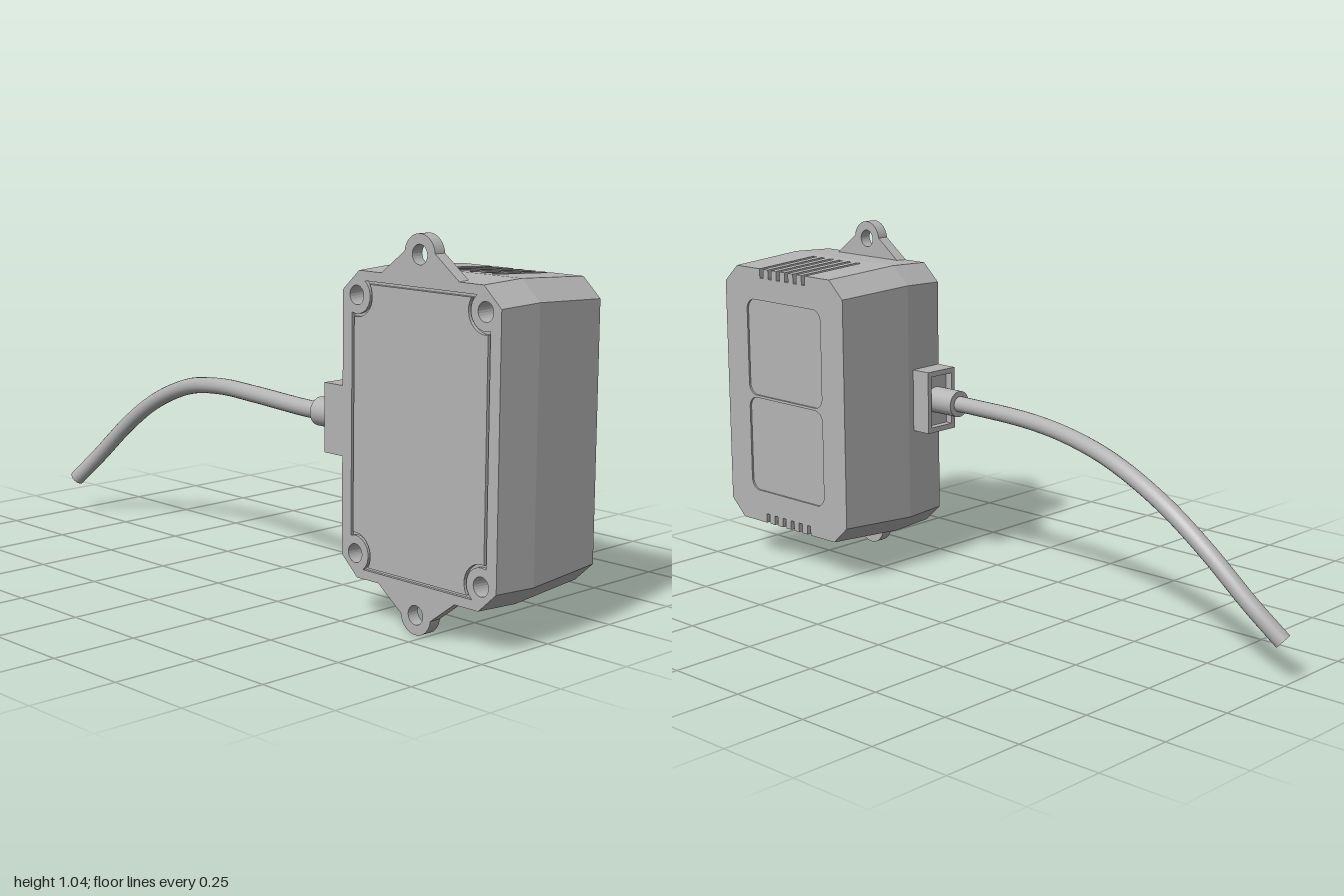
import * as THREE from 'three';

const CY = 0.52, CZ = 0.72;      // centre of the housing
const HZ = 0.28, HY = 0.416;     // half depth and half height at the widest section
const BACK = -0.195, MID = -0.06, FACE = 0.193;

// Octagon outline of the housing, optionally with vent notches in top and bottom
function outline(notched) {
  const half = (s) => {
    const pts = [[s * HZ, s * (HY - 0.055)], [s * (HZ - 0.06), s * HY]];
    if (notched) for (let i = 0; i < 6; i++) {
      const c = 0.1 - i * 0.04, w = 0.008, d = 0.03;
      pts.push([s * (c + w), s * HY], [s * (c + w), s * (HY - d)], [s * (c - w), s * (HY - d)], [s * (c - w), s * HY]);
    }
    pts.push([-s * (HZ - 0.06), s * HY], [-s * HZ, s * (HY - 0.055)]);
    return pts;
  };
  return toShape([...half(1), ...half(-1)]);
}

function toShape(pts) {
  return new THREE.Shape(pts.map(([a, b]) => new THREE.Vector2(a, b)));
}

function circle(a, b, r) {
  const p = new THREE.Path();
  p.absarc(a, b, r, 0, Math.PI * 2, true);
  return p;
}

// Cover outline with round cut-outs around the four screws
const SZ = 0.228, SY = 0.35;
function coverShape(w, h, r) {
  const a0 = Math.atan2(-Math.sqrt(r * r - (w - SZ) ** 2), w - SZ);
  const a1 = Math.atan2(h - SY, -Math.sqrt(r * r - (h - SY) ** 2)) - Math.PI * 2;
  const corner = [];
  for (let i = 0; i <= 10; i++) {
    const t = a0 + (a1 - a0) * i / 10;
    corner.push([SZ + r * Math.cos(t), SY + r * Math.sin(t)]);
  }
  const flip = (sx, sy) => corner.map(([a, b]) => [a * sx, b * sy]);
  return toShape([...corner, ...flip(-1, 1).reverse(), ...flip(-1, -1), ...flip(1, -1).reverse()]);
}

function roundedRect(y0, y1, w, r) {
  const p = new THREE.Path();
  p.absarc(w - r, y1 - r, r, 0, Math.PI / 2);
  p.absarc(-w + r, y1 - r, r, Math.PI / 2, Math.PI);
  p.absarc(-w + r, y0 + r, r, Math.PI, Math.PI * 1.5);
  p.absarc(w - r, y0 + r, r, Math.PI * 1.5, Math.PI * 2);
  p.closePath();
  return p;
}

// Extrude a side-on shape from x0 to x1; tapered slices follow the bulge of the housing
function slice(shape, x0, x1, taper = true) {
  const g = new THREE.ExtrudeGeometry(shape, { depth: x1 - x0, bevelEnabled: false, curveSegments: 12 });
  g.rotateY(Math.PI / 2);
  g.translate(x0, 0, 0);
  const p = g.attributes.position;
  for (let i = 0; i < p.count; i++) {
    const x = p.getX(i);
    const inset = !taper ? 0 : x < MID ? 0.006 * (MID - x) / (MID - BACK) : 0.015 * (x - MID) / (FACE - MID);
    p.setY(i, p.getY(i) * (1 - inset / HY));
    p.setZ(i, p.getZ(i) * (1 - inset / HZ));
  }
  g.translate(0, CY, CZ);
  g.computeVertexNormals();
  return g;
}

export function createModel() {
  const model = new THREE.Group();
  model.name = 'sensorWithCable';
  const grey = new THREE.MeshStandardMaterial({ color: 0xb4b4b4 });
  grey.name = 'grey';
  const add = (name, geometry, parent = model) => {
    const m = new THREE.Mesh(geometry, grey);
    m.name = name;
    parent.add(m);
    return m;
  };

  // Housing, stacked in slices from back to face
  const housing = new THREE.Group();
  housing.name = 'housing';
  model.add(housing);
  const screwHoles = () => [-1, 1].flatMap((a) => [-1, 1].map((b) => circle(a * SZ, b * SY, 0.026)));

  const rim = outline(false);
  rim.holes.push(...screwHoles(), coverShape(0.245, 0.39, 0.05));
  add('backRim', slice(rim, BACK, -0.185), housing);

  const screwLayer = outline(false);
  screwLayer.holes.push(...screwHoles());
  add('screwLayer', slice(screwLayer, -0.185, -0.13), housing);

  add('rearShell', slice(outline(false), -0.13, MID), housing);
  add('middleShell', slice(outline(false), MID, -0.03), housing);
  add('ventedShell', slice(outline(true), -0.03, FACE - 0.006), housing);

  // Face with two sunken rounded windows
  const face = outline(true);
  face.holes.push(roundedRect(0.004, 0.315, 0.176, 0.035), roundedRect(-0.312, -0.004, 0.176, 0.035));
  add('faceFrame', slice(face, FACE - 0.006, FACE), housing);

  // Back cover, set into the rim with a narrow groove around it
  add('backCover', slice(coverShape(0.237, 0.382, 0.058), BACK, -0.185), housing);

  // Mounting tabs, top and bottom
  for (const s of [1, -1]) {
    const tab = new THREE.Shape();
    tab.moveTo(-0.14, 0.39);
    tab.lineTo(0.14, 0.39);
    tab.lineTo(0.135, 0.41);
    tab.absarc(0, 0.467, 0.053, 0.1, Math.PI - 0.1);
    tab.lineTo(-0.135, 0.41);
    tab.closePath();
    tab.holes.push(circle(0, 0.467, 0.026));
    const g = slice(tab, 0, 0.036, false);
    if (s < 0) {
      g.translate(0, -CY, -CZ);
      g.rotateX(Math.PI);
      g.translate(0, CY, CZ);
    }
    g.translate(BACK, 0, 0);
    add(s > 0 ? 'topTab' : 'bottomTab', g);
  }

  // Cable socket: hollow block, floor and round collar
  const box = (x0, x1, y0, y1) => [[x0, y0], [x1, y0], [x1, y1], [x0, y1]];
  const block = toShape(box(BACK, -0.08, 0.43, 0.62));
  block.holes.push(toShape(box(BACK + 0.014, -0.094, 0.446, 0.604)));
  const blockGeometry = new THREE.ExtrudeGeometry(block, { depth: 0.09, bevelEnabled: false });
  blockGeometry.translate(0, 0, 0.377);
  add('socketBlock', blockGeometry);
  add('socketFloor', new THREE.BoxGeometry(0.1, 0.17, 0.06)).position.set(-0.1375, 0.525, 0.43);
  const collar = add('cableCollar', new THREE.CylinderGeometry(0.04, 0.04, 0.11, 32));
  collar.rotation.x = Math.PI / 2;
  collar.position.set(-0.138, 0.525, 0.357);

  // Cable, drooping toward its free end
  const path = new THREE.CatmullRomCurve3([
    [-0.138, 0.525, 0.36], [-0.138, 0.525, 0.25], [-0.11, 0.528, 0], [-0.068, 0.52, -0.2], [-0.024, 0.488, -0.4],
    [0.006, 0.412, -0.6], [0.015, 0.318, -0.75], [0.003, 0.195, -0.89], [-0.021, 0.111, -0.977],
  ].map((p) => new THREE.Vector3(...p)));
  add('cable', new THREE.TubeGeometry(path, 64, 0.024, 20, false));
  const end = add('cableEnd', new THREE.CircleGeometry(0.024, 20));
  end.position.copy(path.getPoint(1));
  end.quaternion.setFromUnitVectors(new THREE.Vector3(0, 0, 1), path.getTangent(1));

  return model;
}
